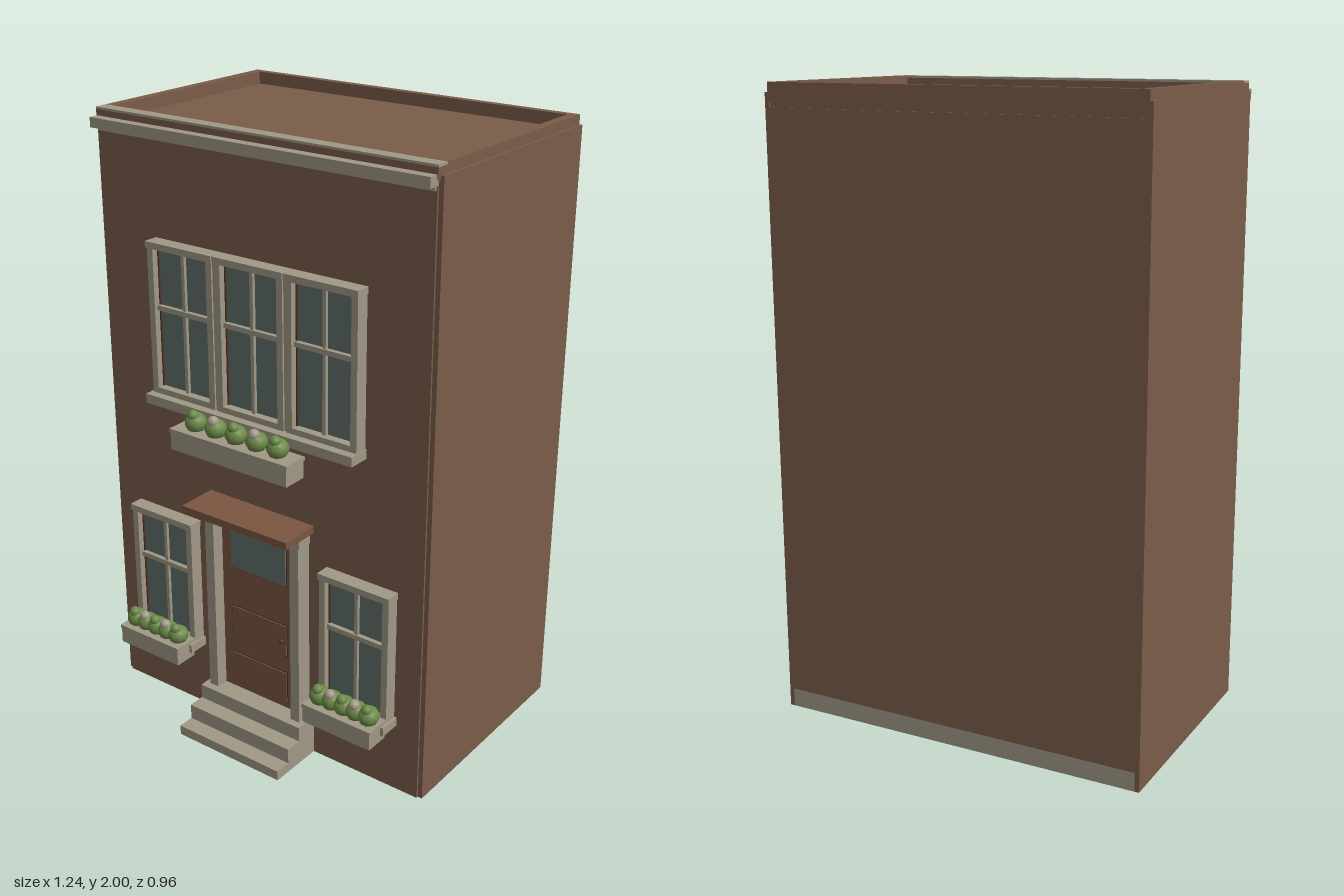
import * as THREE from 'three';

const mat = (name, color) => Object.assign(new THREE.MeshStandardMaterial({ color }), { name });

export function createModel() {
  const brick = mat('brick', 0x7a5c49);
  const stone = mat('stone', 0xa09885);
  const glass = mat('glass', 0x626f6a);
  const wood = mat('wood', 0x7a5640);
  const darkWood = mat('darkWood', 0x4e3426);
  const leaf = mat('leaf', 0x6c8a48);
  const bloom = mat('bloom', 0xa39c88);

  const root = new THREE.Group();
  root.name = 'townHouse';
  const group = (name, x = 0, y = 0, z = 0) => {
    const g = new THREE.Group();
    g.name = name;
    g.position.set(x, y, z);
    root.add(g);
    return g;
  };
  // Box given by its min and max on each axis
  const box = (parent, name, m, x0, x1, y0, y1, z0, z1) => {
    const mesh = new THREE.Mesh(new THREE.BoxGeometry(x1 - x0, y1 - y0, z1 - z0), m);
    mesh.name = name;
    mesh.position.set((x0 + x1) / 2, (y0 + y1) / 2, (z0 + z1) / 2);
    parent.add(mesh);
    return mesh;
  };

  // Building shell: core, side walls and back
  const shell = group('shell');
  box(shell, 'core', brick, -0.605, 0.605, 0, 1.96, -0.474, 0.287);
  for (const s of [-1, 1]) {
    const [a, b] = s < 0 ? [-0.62, -0.605] : [0.605, 0.62];
    box(shell, 'sideWall', brick, a, b, 0, 1.97, -0.48, 0.28);
  }
  box(shell, 'backWall', brick, -0.605, 0.605, 0.06, 1.925, -0.48, -0.474);
  box(shell, 'backPlinth', stone, -0.605, 0.605, 0, 0.06, -0.48, -0.474);
  box(shell, 'backBand', brick, -0.605, 0.605, 1.94, 1.96, -0.48, -0.474);

  // Parapet around the roof, with a stone cornice on the street side
  const parapet = group('parapet');
  box(parapet, 'backParapet', brick, -0.61, 0.61, 1.96, 2, -0.48, -0.455);
  box(parapet, 'frontParapet', brick, -0.61, 0.61, 1.96, 1.993, 0.25, 0.293);
  box(parapet, 'frontCoping', stone, -0.61, 0.61, 1.993, 2, 0.25, 0.293);
  for (const s of [-1, 1]) {
    const [a, b] = s < 0 ? [-0.61, -0.58] : [0.58, 0.61];
    box(parapet, 'sideParapet', brick, a, b, 1.96, 2, -0.455, 0.25);
  }
  box(parapet, 'cornice', stone, -0.607, 0.607, 1.943, 1.974, 0.287, 0.325);
  box(parapet, 'corniceMould', stone, -0.602, 0.602, 1.93, 1.943, 0.287, 0.295);

  // Sash window: glass, surround and glazing bars, centred on x
  const sash = (x, y0, y1, transom, w) => {
    const g = group('window', x);
    const h = w / 2, f = 0.022;
    box(g, 'pane', glass, -h, h, y0, y1, 0.287, 0.305);
    box(g, 'jamb', stone, -h - f, -h, y0, y1, 0.287, 0.332);
    box(g, 'jamb', stone, h, h + f, y0, y1, 0.287, 0.332);
    box(g, 'head', stone, -h - f - 0.003, h + f + 0.003, y1, y1 + 0.021, 0.287, 0.337);
    box(g, 'bottomRail', stone, -h - f, h + f, y0 - 0.02, y0, 0.287, 0.332);
    box(g, 'mullion', stone, -0.006, 0.006, y0, y1, 0.305, 0.316);
    box(g, 'transom', stone, -h, h, transom - 0.008, transom + 0.008, 0.305, 0.32);
    // Inner sash edges
    for (const s of [-1, 1])
      box(g, 'sashEdge', darkWood, s * (h - 0.002) - 0.002, s * (h - 0.002) + 0.002, y0, y1, 0.305, 0.311);
  };
  for (const x of [-0.264, 0, 0.264]) sash(x, 1.158, 1.609, 1.418, 0.21);
  box(root, 'upperSill', stone, -0.398, 0.395, 1.108, 1.139, 0.287, 0.36);
  for (const x of [-0.132, 0.132]) box(root, 'windowPost', stone, x - 0.008, x + 0.008, 1.139, 1.63, 0.287, 0.326);

  // Planter with five round shrubs, every second one tipped with a pale bloom
  const shrubGeo = new THREE.SphereGeometry(1, 10, 7);
  const planter = (x, width, y0, y1, z0, z1, spacing) => {
    const g = group('planter', x);
    const h = width / 2;
    box(g, 'trough', stone, -h, h, y0, y1, z0, z1);
    box(g, 'rim', stone, -h - 0.003, h + 0.003, y1 - 0.012, y1, z0 - 0.002, z1 + 0.002);
    for (let i = -2; i <= 2; i++) {
      const shrub = new THREE.Mesh(shrubGeo, leaf);
      shrub.name = 'shrub';
      shrub.scale.set(0.034, 0.032, 0.036);
      shrub.position.set(i * spacing, y1 + 0.022, (z0 + z1) / 2 - 0.003);
      const bud = new THREE.Mesh(shrubGeo, i % 2 ? bloom : leaf);
      bud.name = 'bud';
      bud.scale.setScalar(0.018);
      bud.position.set(i * spacing, y1 + 0.049, (z0 + z1) / 2 + 0.009);
      g.add(shrub, bud);
    }
  };
  planter(0, 0.446, 1.026, 1.095, 0.36, 0.443, 0.079);
  for (const s of [-1, 1]) {
    const x = s * 0.386;
    sash(x, 0.272, 0.684, 0.519, 0.212);
    box(root, 'lowerSill', stone, x - 0.137, x + 0.137, 0.237, 0.266, 0.287, 0.36);
    planter(x, 0.252, 0.215, 0.28, 0.335, 0.418, 0.046);
  }

  // Panelled front door
  const door = group('door');
  box(door, 'doorLeaf', wood, -0.152, 0.152, 0.135, 0.757, 0.287, 0.3);
  // Raised panel with a dark outline behind it
  const panel = (name, m, y0, y1) => {
    box(door, name + 'Edge', darkWood, -0.116, 0.113, y0 - 0.004, y1 + 0.004, 0.3, 0.303);
    box(door, name, m, -0.112, 0.109, y0, y1, 0.3, 0.307);
  };
  panel('doorGlass', glass, 0.592, 0.722);
  panel('middlePanel', wood, 0.336, 0.446);
  panel('lowerPanel', wood, 0.16, 0.27);
  const knob = new THREE.Mesh(new THREE.SphereGeometry(0.008, 10, 8), darkWood);
  knob.name = 'doorKnob';
  knob.position.set(0.096, 0.392, 0.314);
  door.add(knob);

  // Door surround and canopy
  const porch = group('porch');
  for (const s of [-1, 1]) {
    box(porch, 'pilaster', stone, s * 0.17 - 0.017, s * 0.17 + 0.017, 0.135, 0.765, 0.287, 0.342);
    // Sloping bracket under the canopy
    const outline = new THREE.Shape();
    outline.moveTo(0.3, 0.805);
    outline.lineTo(0.415, 0.805);
    outline.lineTo(0.415, 0.795);
    outline.lineTo(0.345, 0.768);
    outline.lineTo(0.3, 0.768);
    const bracket = new THREE.Mesh(
      new THREE.ExtrudeGeometry(outline, { depth: 0.016, bevelEnabled: false }), wood);
    bracket.name = 'bracket';
    bracket.rotation.y = -Math.PI / 2;
    bracket.position.x = s * 0.146 + 0.008;
    porch.add(bracket);
  }
  box(porch, 'lintel', stone, -0.19, 0.19, 0.765, 0.803, 0.287, 0.342);
  box(porch, 'canopy', wood, -0.205, 0.205, 0.805, 0.83, 0.287, 0.425);

  // Three front steps
  const steps = group('steps');
  [[0, 0.033, 0.478], [0.033, 0.085, 0.423], [0.085, 0.135, 0.367]].forEach(([y0, y1, z]) =>
    box(steps, 'step', stone, -0.205, 0.205, y0, y1, 0.287, z));

  return root;
}
